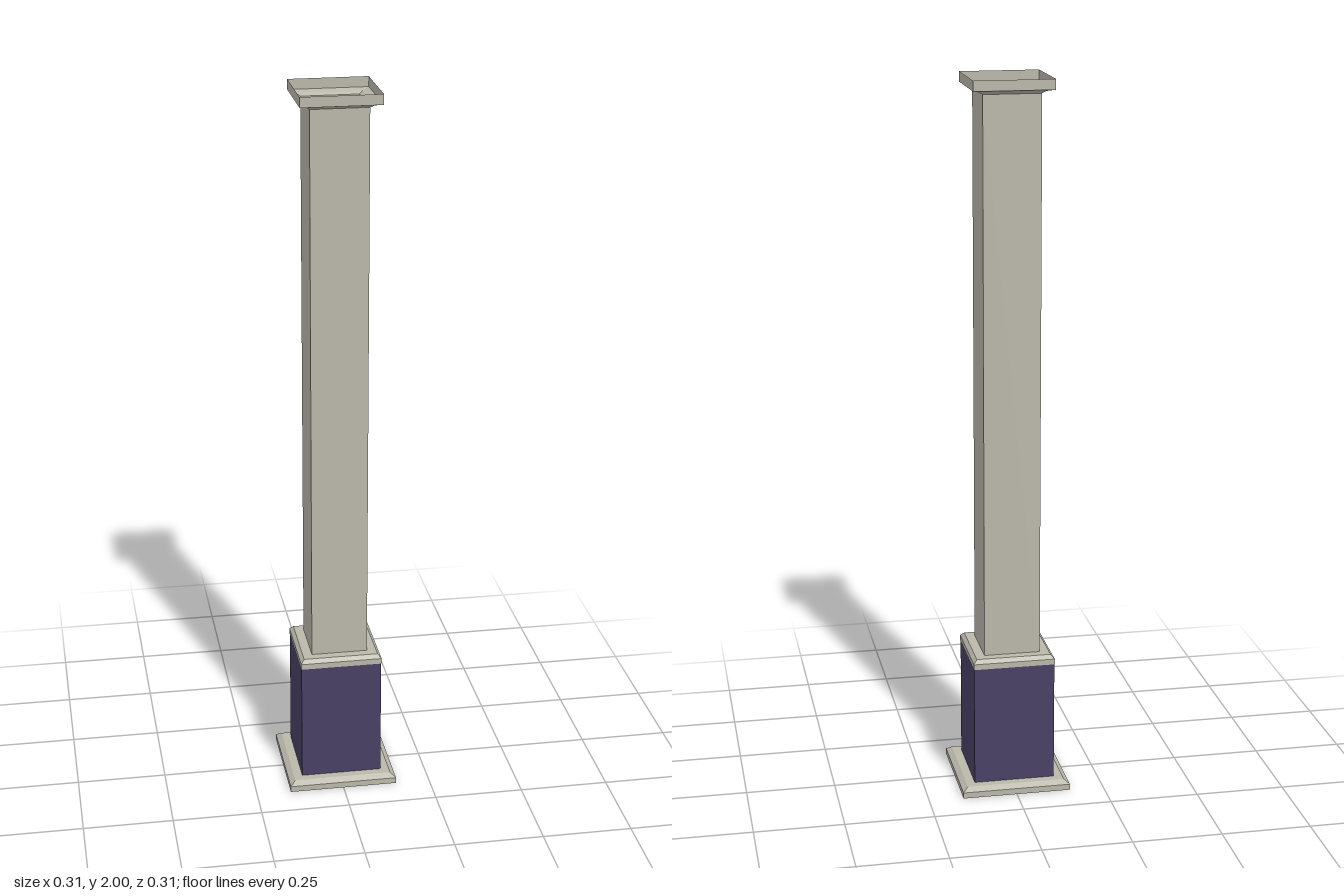
import * as THREE from 'three';

const stone = new THREE.MeshStandardMaterial({ color: 0xbab7aa, flatShading: true });
const thinStone = new THREE.MeshStandardMaterial({ color: 0xbab7aa, flatShading: true, side: THREE.DoubleSide });
const paint = new THREE.MeshStandardMaterial({ color: 0x484064, flatShading: true });

// Square section swept along a profile of [half width, height] points, bottom to top
function squareProfile(name, profile, material) {
  const points = profile.map(([h, y]) => new THREE.Vector2(h * Math.SQRT2, y));
  const geometry = new THREE.LatheGeometry(points, 4, Math.PI / 4).toNonIndexed();
  geometry.computeVertexNormals();
  const mesh = new THREE.Mesh(geometry, material);
  mesh.name = name;
  return mesh;
}

export function createModel() {
  const column = new THREE.Group();
  column.name = 'squareColumn';

  // Bevelled foot
  column.add(squareProfile('basePlinth',
    [[0, 0], [0.153, 0], [0.153, 0.017], [0.138, 0.028], [0, 0.028]], stone));

  // Painted pedestal
  const block = new THREE.Mesh(new THREE.BoxGeometry(0.228, 0.342, 0.228), paint);
  block.position.y = 0.199;
  block.name = 'pedestalBlock';
  column.add(block);

  // Moulding on top of the pedestal
  column.add(squareProfile('pedestalTrim',
    [[0, 0.37], [0.115, 0.37], [0.115, 0.386], [0.105, 0.397], [0, 0.397]], stone));

  // Hollow shaft, open at the top
  column.add(squareProfile('shaft', [[0.079, 0.397], [0.079, 1.96]], thinStone));

  // Open tray-like capital with a stepped underside
  column.add(squareProfile('capital',
    [[0.079, 1.96], [0.089, 1.967], [0.109, 1.972], [0.109, 2]], thinStone));

  return column;
}
